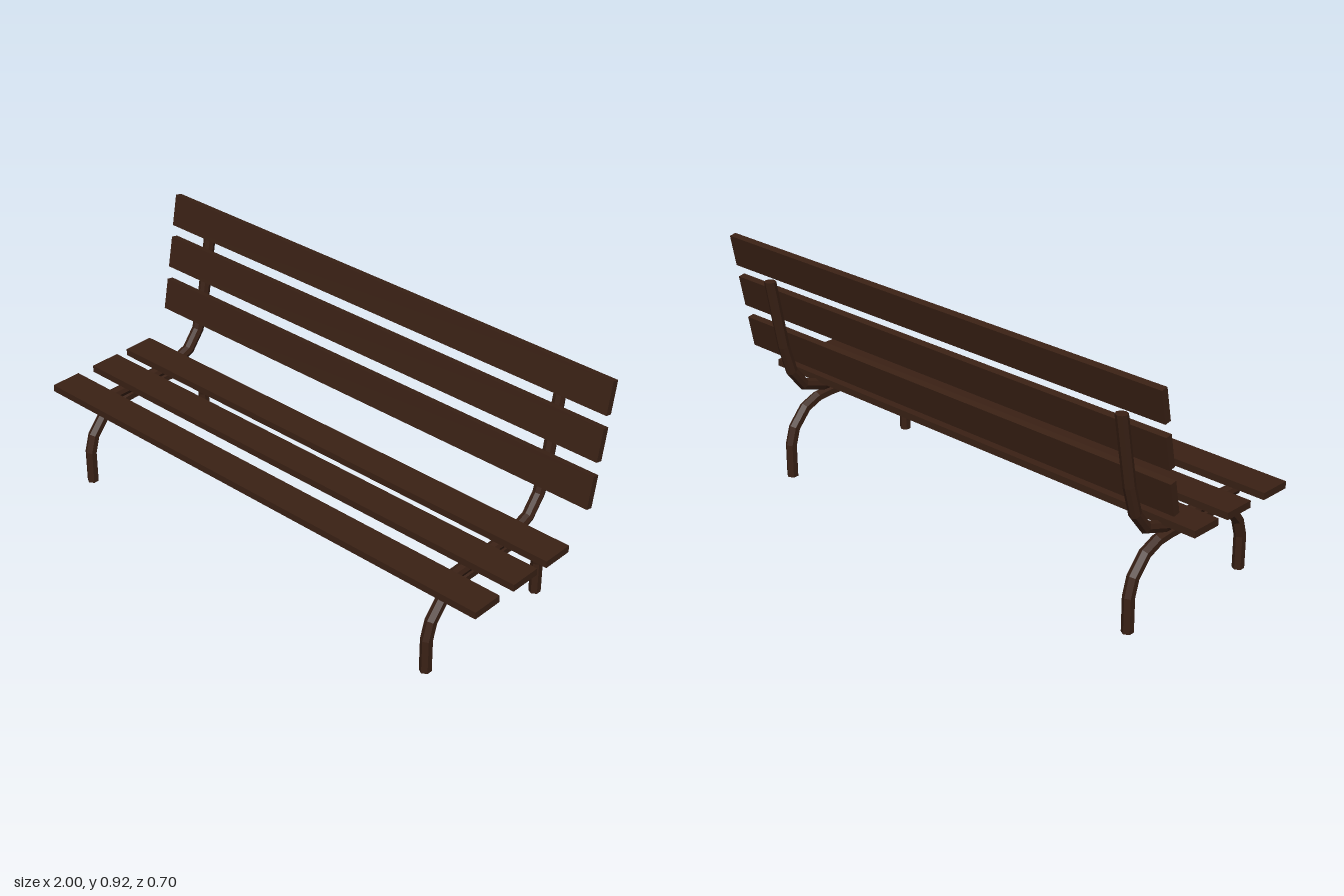
import * as THREE from 'three';

const material = new THREE.MeshStandardMaterial({ color: 0x3a2115, flatShading: true });

// Sweeps a regular polygon along a [z, y] path with mitred bends.
function sweep(path, radius, sides, endDirection) {
  const points = path.map(([z, y]) => new THREE.Vector2(z, y));
  const last = points.length - 1;
  const dirs = points.slice(1).map((p, i) => p.clone().sub(points[i]).normalize());
  const positions = [], index = [];
  points.forEach((p, i) => {
    const before = dirs[Math.max(i - 1, 0)];
    const after = i === last ? endDirection ?? before : dirs[i];
    const t = i === last ? after.clone() : before.clone().add(after).normalize();
    const stretch = 1 / t.dot(before);
    for (let j = 0; j < sides; j++) {
      const a = (j / sides) * Math.PI * 2;
      const k = Math.cos(a) * radius * stretch;
      positions.push(Math.sin(a) * radius, p.y + t.x * k, p.x - t.y * k);
    }
  });
  for (let i = 0; i < last; i++) {
    for (let j = 0; j < sides; j++) {
      const a = i * sides + j, b = i * sides + ((j + 1) % sides);
      index.push(a, a + sides, b + sides, a, b + sides, b);
    }
  }
  // End caps
  const e = last * sides;
  for (let j = 1; j < sides - 1; j++) index.push(0, j, j + 1, e, e + j + 1, e + j);
  const geometry = new THREE.BufferGeometry();
  geometry.setAttribute('position', new THREE.Float32BufferAttribute(positions, 3));
  geometry.setIndex(index);
  geometry.computeVertexNormals();
  return geometry;
}

export function createModel() {
  const bench = new THREE.Group();
  bench.name = 'bench';

  const add = (parent, name, geometry, x, y, z) => {
    const mesh = new THREE.Mesh(geometry, material);
    mesh.name = name;
    mesh.position.set(x, y, z);
    parent.add(mesh);
    return mesh;
  };

  // Arched legs: front half, mirrored to the back
  const half = [[0.321, 0], [0.321, 0.128], [0.302, 0.192], [0.246, 0.256], [0.185, 0.281], [0.13, 0.286]];
  const arch = [...half, ...half.map(([z, y]) => [0.056 - z, y]).reverse()];
  const legGeometry = sweep(arch, 0.0215, 6);

  // Seat rail bending up into the back post
  const rail = [[0.28, 0.32], [-0.1, 0.321], [-0.192, 0.352], [-0.246, 0.42], [-0.279, 0.53], [-0.327, 0.792]];
  const railGeometry = sweep(rail, 0.022, 8, new THREE.Vector2(0, 1));

  for (const [side, x] of [['right', -0.85], ['left', 0.785]]) {
    const frame = new THREE.Group();
    frame.name = `${side}Frame`;
    add(frame, `${side}LegArch`, legGeometry, x, 0, 0);
    add(frame, `${side}SeatRailAndBackPost`, railGeometry, x, 0, 0);
    bench.add(frame);
  }

  // Seat slats
  const seatSlat = new THREE.BoxGeometry(2, 0.026, 0.12);
  [0.292, 0.099, -0.071].forEach((z, i) => add(bench, `seatSlat${i + 1}`, seatSlat, 0, 0.356, z));

  // Leaning backrest slats
  const backSlat = new THREE.BoxGeometry(2, 0.12, 0.026);
  [[0.523, -0.24], [0.691, -0.272], [0.855, -0.302]].forEach(([y, z], i) => {
    add(bench, `backSlat${i + 1}`, backSlat, 0, y, z).rotation.x = -0.19;
  });

  return bench;
}
